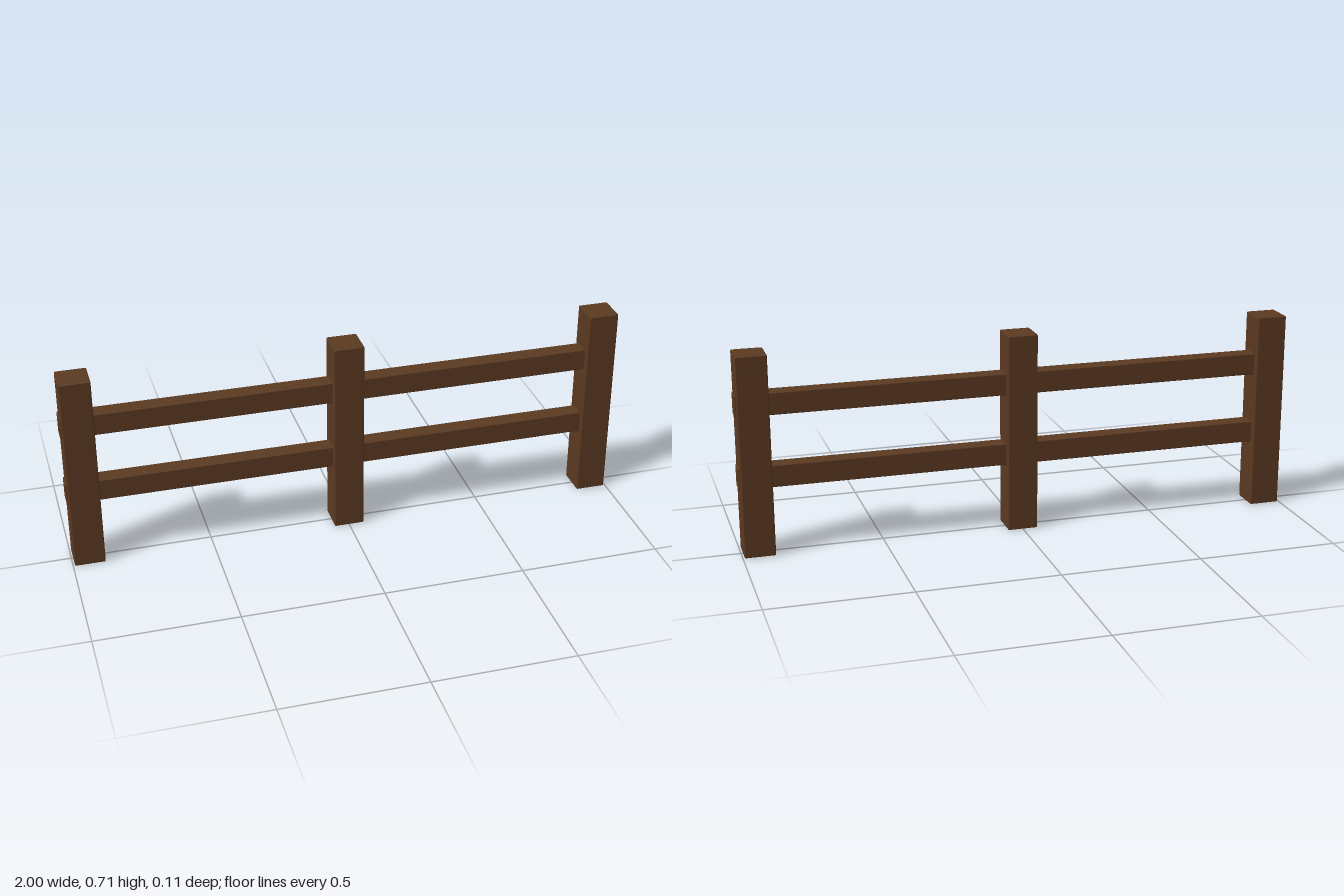
import * as THREE from 'three';
import { RoundedBoxGeometry } from 'three/addons/geometries/RoundedBoxGeometry.js';

export function createModel() {
  const fence = new THREE.Group();
  fence.name = 'fence';
  const wood = new THREE.MeshStandardMaterial({ color: 0x5c3a21 });
  wood.name = 'brown wood';

  // Timber beam with slightly eased edges
  const addBeam = (name, size, x, y) => {
    const beam = new THREE.Mesh(new RoundedBoxGeometry(...size, 1, 0.004), wood);
    beam.name = name;
    beam.position.set(x, y, 0);
    fence.add(beam);
  };

  // Three upright posts
  const postHeight = 0.714;
  [['rightPost', -0.94], ['middlePost', 0], ['leftPost', 0.94]].forEach(([name, x]) =>
    addBeam(name, [0.108, postHeight, 0.108], x, postHeight / 2));

  // Two rails passing through the posts, ends just proud of the outer faces
  [['lowerRail', 0.279], ['upperRail', 0.536]].forEach(([name, y]) =>
    addBeam(name, [2, 0.079, 0.06], 0, y));

  return fence;
}
